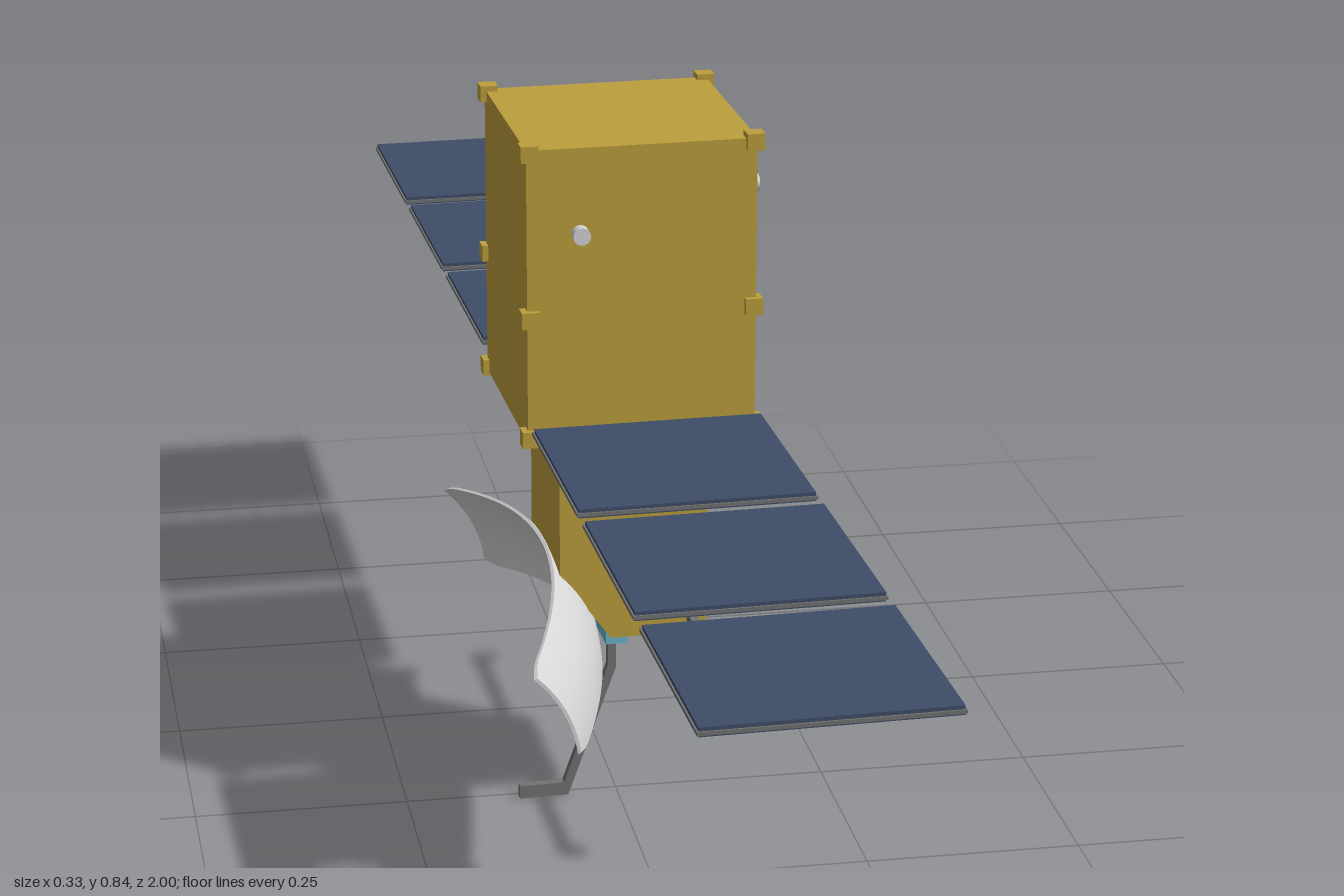
import * as THREE from 'three';

const mat = (name, color) => Object.assign(new THREE.MeshStandardMaterial({ color }), { name });

export function createModel() {
  const gold = mat('gold foil', 0xbd9f3c);
  const navy = mat('solar cell blue', 0x3e4d68);
  const silver = mat('silver', 0xd6d6d6);
  const grey = mat('boom grey', 0x727272);
  const cyan = mat('sensor cyan', 0x6cb6cf);
  const red = mat('dark red', 0x7f1010);

  const root = new THREE.Group();
  root.name = 'satellite';
  // The whole craft is turned slightly about the vertical
  const craft = new THREE.Group();
  craft.name = 'craft';
  craft.position.x = 0.0035;
  craft.rotation.y = 0.034;
  root.add(craft);

  const add = (name, geometry, material, x = 0, y = 0, z = 0) => {
    const mesh = new THREE.Mesh(geometry, material);
    mesh.name = name;
    mesh.position.set(x, y, z);
    craft.add(mesh);
    return mesh;
  };
  const box = (name, material, w, h, d, x, y, z) =>
    add(name, new THREE.BoxGeometry(w, h, d), material, x, y, z);
  const prism = (name, material, points, depth) => {
    const shape = new THREE.Shape(points.map(([x, y]) => new THREE.Vector2(x, y)));
    const g = new THREE.ExtrudeGeometry(shape, { depth, bevelEnabled: false });
    return add(name, g.translate(0, 0, -depth / 2), material);
  };

  // Upper body with fittings along its four vertical edges
  box('upperBody', gold, 0.26, 0.34, 0.26, 0, 0.661, 0);
  for (const sx of [-1, 1]) for (const sz of [-1, 1]) for (const y of [0.497, 0.637, 0.828])
    box('cornerFitting', gold, 0.02, 0.019, 0.02, sx * 0.127, y, sz * 0.127);

  // Lower body with one sloped bottom edge
  prism('lowerBody', gold,
    [[-0.0865, 0.492], [-0.0865, 0.312], [-0.027, 0.23], [0.0855, 0.23], [0.0855, 0.492]], 0.176);

  // Solar wings, three panels on each side
  for (const side of [-1, 1]) for (let i = 0; i < 3; i++) {
    const z = side * (0.29 + i * 0.2885);
    box('solarPanel', navy, 0.258, 0.01, 0.254, 0, 0.515, z);
    box('panelRim', grey, 0.262, 0.004, 0.258, 0, 0.514, z);
  }

  // Dish: a curved strip opening outward and down
  const dishGeo = new THREE.BoxGeometry(0.6, 0.12, 0.004, 40, 10, 1);
  const p = dishGeo.attributes.position;
  for (let i = 0; i < p.count; i++) {
    const u = p.getX(i);
    const end = Math.max(0, (Math.abs(u) - 0.27) / 0.03);
    const v = p.getY(i) * (1 - 0.12 * end * end);
    p.setXYZ(i, u, v, p.getZ(i) + 0.08 * (u / 0.3) ** 2 + 0.012 * (v / 0.06) ** 2);
  }
  dishGeo.computeVertexNormals();
  const across = new THREE.Vector3(-0.463, 0.886, 0);
  const axis = new THREE.Vector3(-0.886, -0.463, 0);
  dishGeo.applyMatrix4(new THREE.Matrix4().makeBasis(new THREE.Vector3(0, 0, 1), across, axis));
  add('dish', dishGeo, silver, -0.051, 0.273, 0);

  // Side and front sensors
  add('sideSensor', new THREE.CylinderGeometry(0.01, 0.01, 0.014, 16), silver, 0.136, 0.765, 0.08).rotation.z = Math.PI / 2;
  add('roundSensor', new THREE.CylinderGeometry(0.022, 0.022, 0.014, 24), cyan, 0.135, 0.571, 0.036).rotation.z = Math.PI / 2;
  add('frontSensor', new THREE.CylinderGeometry(0.01, 0.01, 0.02, 16), silver, -0.07, 0.733, 0.133).rotation.x = Math.PI / 2;
  box('redBar', red, 0.014, 0.019, 0.068, 0.092, 0.413, 0);
  box('cyanBar', cyan, 0.014, 0.067, 0.022, 0.092, 0.363, 0);

  // Bent boom under the body
  box('boomMount', cyan, 0.026, 0.03, 0.062, -0.0095, 0.215, 0.005);
  prism('boom', grey, [[-0.015, 0.205], [-0.015, 0.162], [-0.068, 0.016], [-0.121, 0.016],
    [-0.121, 0.002], [-0.121, 0], [-0.063, 0], [-0.005, 0.16], [-0.005, 0.205]], 0.011).position.z = 0.005;

  // Two side rods with end pads and body brackets
  for (const side of [-1, 1]) {
    box('rod', grey, 0.01, 0.01, 0.2, 0.067, 0.25, side * 0.187);
    box('rodEnd', grey, 0.018, 0.016, 0.016, 0.069, 0.247, side * 0.288);
    box('rodPad', grey, 0.028, 0.006, 0.014, 0.069, 0.24, side * 0.296);
    box('rodBracket', gold, 0.03, 0.01, 0.018, 0.067, 0.236, side * 0.094);
  }
  add('bottomKnob', new THREE.CylinderGeometry(0.011, 0.011, 0.014, 12), grey, 0.053, 0.227, 0.045);

  return root;
}
